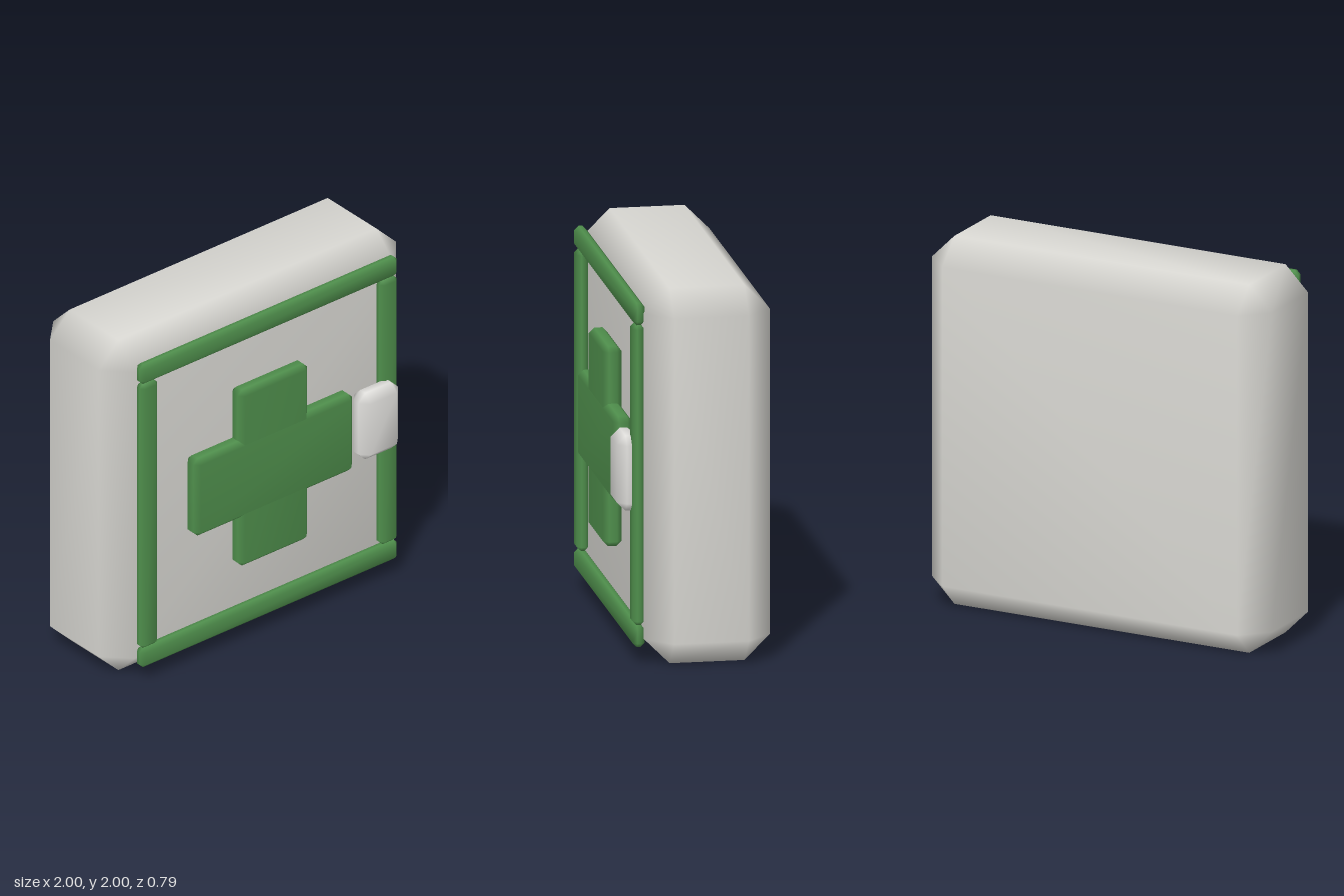
import * as THREE from 'three';

// Box with bevelled edges and corners, sharing vertices so the shading is smooth
function bevelBox(w, h, d, bevel) {
  const half = [w / 2, h / 2, d / 2];
  const points = [];
  for (let k = 0; k < 8; k++) {
    for (let a = 0; a < 3; a++) {
      points.push(new THREE.Vector3(...half.map((s, i) =>
        ((k >> i) & 1 ? 1 : -1) * (i === a ? s : s - bevel))));
    }
  }
  const index = [];
  const tri = (a, b, c) => {
    const n = points[b].clone().sub(points[a]).cross(points[c].clone().sub(points[a]));
    if (n.dot(points[a]) < 0) index.push(a, c, b);
    else index.push(a, b, c);
  };
  const quad = (a, b, c, d) => { tri(a, b, c); tri(a, c, d); };

  for (let a = 0; a < 3; a++) {
    const b = (a + 1) % 3, c = (a + 2) % 3;
    const A = 1 << a, B = 1 << b, C = 1 << c;
    // flat sides
    for (const s of [0, A]) quad(s * 3 + a, (s + B) * 3 + a, (s + B + C) * 3 + a, (s + C) * 3 + a);
    // bevelled edges
    for (const k of [0, B, C, B + C]) quad(k * 3 + b, (k + A) * 3 + b, (k + A) * 3 + c, k * 3 + c);
  }
  // corners
  for (let k = 0; k < 8; k++) tri(k * 3, k * 3 + 1, k * 3 + 2);

  const geometry = new THREE.BufferGeometry().setFromPoints(points);
  geometry.setIndex(index);
  geometry.computeVertexNormals();
  return geometry;
}

function paint(name, color) {
  const material = new THREE.MeshStandardMaterial({ color });
  material.name = name;
  return material;
}

export function createModel() {
  const group = new THREE.Group();
  group.name = 'firstAidCabinet';
  const casing = paint('casing grey', 0xd8d7d2);
  const handle = paint('handle white', 0xe0dfdc);
  const green = paint('green', 0x4f8f4c);

  // Adds a bevelled box from its ranges on x, y and z
  const add = (name, material, [x0, x1], [y0, y1], [z0, z1], bevel) => {
    const mesh = new THREE.Mesh(bevelBox(x1 - x0, y1 - y0, z1 - z0, bevel), material);
    mesh.position.set((x0 + x1) / 2, (y0 + y1) / 2, (z0 + z1) / 2);
    mesh.name = name;
    group.add(mesh);
  };

  add('cabinetBody', casing, [-1, 1], [0, 2], [-0.395, 0.265], 0.133);

  // Frame around the door
  const frameZ = [0.258, 0.322];
  add('frameTop', green, [-0.864, 0.864], [1.803, 1.92], frameZ, 0.022);
  add('frameBottom', green, [-0.864, 0.864], [0.087, 0.204], frameZ, 0.022);
  add('frameRight', green, [-0.864, -0.747], [0.204, 1.803], frameZ, 0.022);
  add('frameLeft', green, [0.747, 0.864], [0.204, 1.803], frameZ, 0.022);

  // Cross
  add('crossUpright', green, [-0.233, 0.233], [0.47, 1.535], [0.263, 0.362], 0.028);
  add('crossBar', green, [-0.533, 0.533], [0.77, 1.236], [0.263, 0.364], 0.028);

  add('doorHandle', handle, [0.566, 0.833], [0.803, 1.203], [0.262, 0.395], 0.046);

  return group;
}
